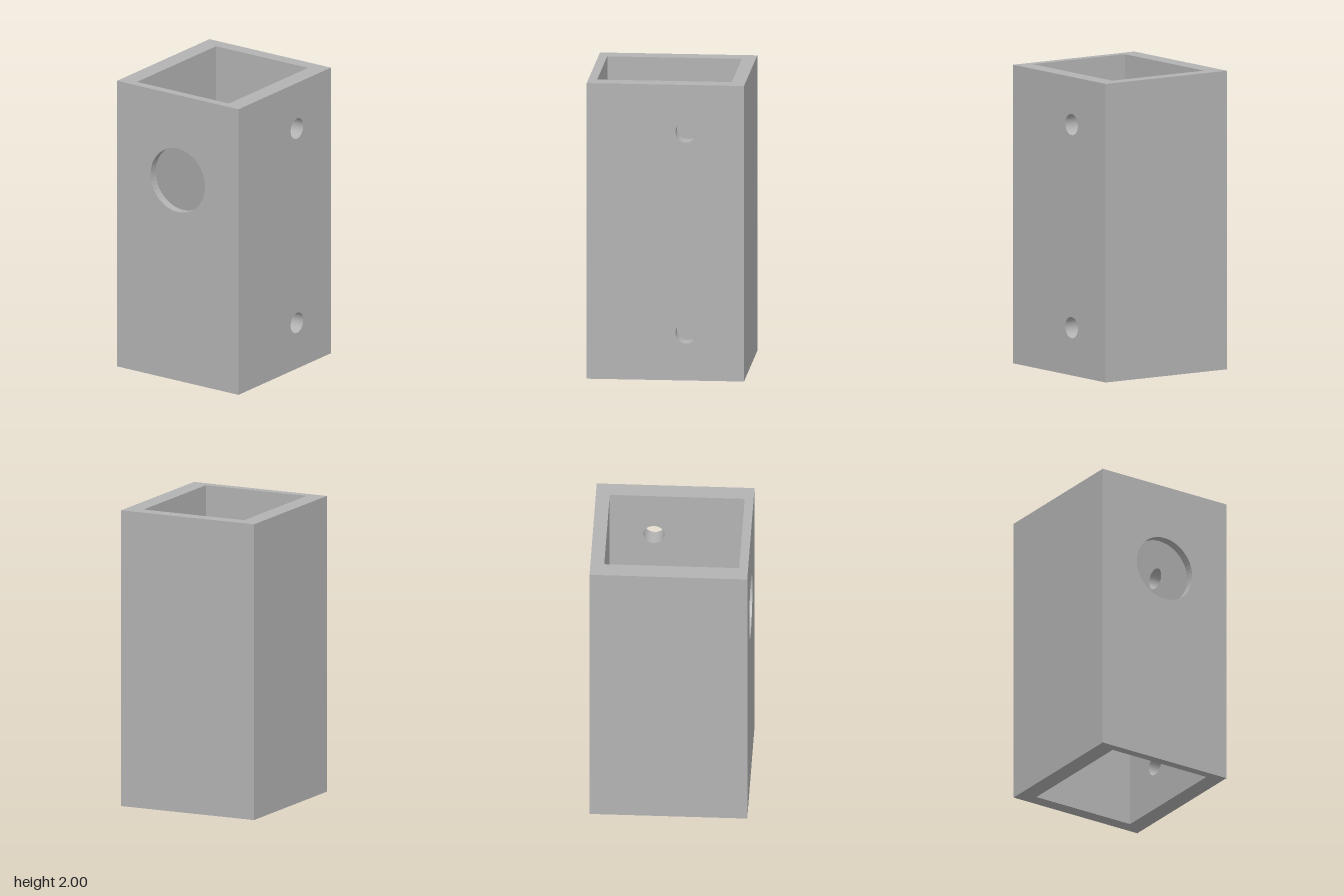
import * as THREE from 'three';
import { mergeGeometries } from 'three/addons/utils/BufferGeometryUtils.js';

const H = 2, SEG = 48;
const OX = 0.496, OZ = 0.523;                 // outer half sizes
const IX = 0.376, IZ0 = -0.431, IZ1 = 0.464;  // inner cavity

function rect(target, x0, y0, x1, y1) {
  target.moveTo(x0, y0).lineTo(x1, y0).lineTo(x1, y1).lineTo(x0, y1).closePath();
  return target;
}

// Upright face from u0 to u1 with round holes [u, y, radius], turned about y
function panel(u0, u1, holes, angle, x, z) {
  const shape = rect(new THREE.Shape(), u0, 0, u1, H);
  for (const [u, y, r] of holes) {
    shape.holes.push(new THREE.Path().absarc(u, y, r, 0, Math.PI * 2, true));
  }
  return new THREE.ShapeGeometry(shape, SEG / 2).toNonIndexed().rotateY(angle).translate(x, 0, z);
}

// Faceted inside wall of a hole, axis along y before it is turned
function sleeve(r, length) {
  const g = new THREE.CylinderGeometry(r, r, length, SEG, 1, true).scale(-1, 1, 1).toNonIndexed();
  g.computeVertexNormals();
  return g;
}

// Flat ring closing the tube end
function rim(up) {
  const shape = rect(new THREE.Shape(), -OX, -OZ, OX, OZ);
  const s = up ? -1 : 1; // local y maps to -z on top, +z below
  shape.holes.push(rect(new THREE.Path(), -IX, Math.min(s * IZ0, s * IZ1), IX, Math.max(s * IZ0, s * IZ1)));
  return new THREE.ShapeGeometry(shape).toNonIndexed()
    .rotateX(up ? -Math.PI / 2 : Math.PI / 2).translate(0, up ? H : 0, 0);
}

export function createModel() {
  const group = new THREE.Group();
  group.name = 'squareTube';
  const grey = new THREE.MeshStandardMaterial({ color: 0xb3b3b3 });
  grey.name = 'grey';

  const add = (name, ...parts) => {
    const mesh = new THREE.Mesh(mergeGeometries(parts), grey);
    mesh.name = name;
    group.add(mesh);
  };

  const port = [0, 1.402, 0.222];
  const screwY = [0.32, 1.68], screwZ = -0.138, screwR = 0.071;
  const q = Math.PI / 2;

  // Front wall with the large port
  add('frontWall',
    panel(-OX, OX, [port], 0, 0, OZ),
    panel(-IX, IX, [port], Math.PI, 0, IZ1),
    sleeve(port[2], OZ - IZ1).rotateX(q).translate(0, port[1], (OZ + IZ1) / 2));

  // Back wall
  add('backWall',
    panel(-OX, OX, [], Math.PI, 0, -OZ),
    panel(-IX, IX, [], 0, 0, IZ0));

  // Left wall (+x) with two screw holes
  add('leftWall',
    panel(-OZ, OZ, screwY.map(y => [-screwZ, y, screwR]), q, OX, 0),
    panel(IZ0, IZ1, screwY.map(y => [screwZ, y, screwR]), -q, IX, 0),
    ...screwY.map(y => sleeve(screwR, OX - IX).rotateZ(q).translate((OX + IX) / 2, y, screwZ)));

  // Right wall (-x)
  add('rightWall',
    panel(-OZ, OZ, [], -q, -OX, 0),
    panel(-IZ1, -IZ0, [], q, -IX, 0));

  // Open ends
  add('topRim', rim(true));
  add('bottomRim', rim(false));
  return group;
}
